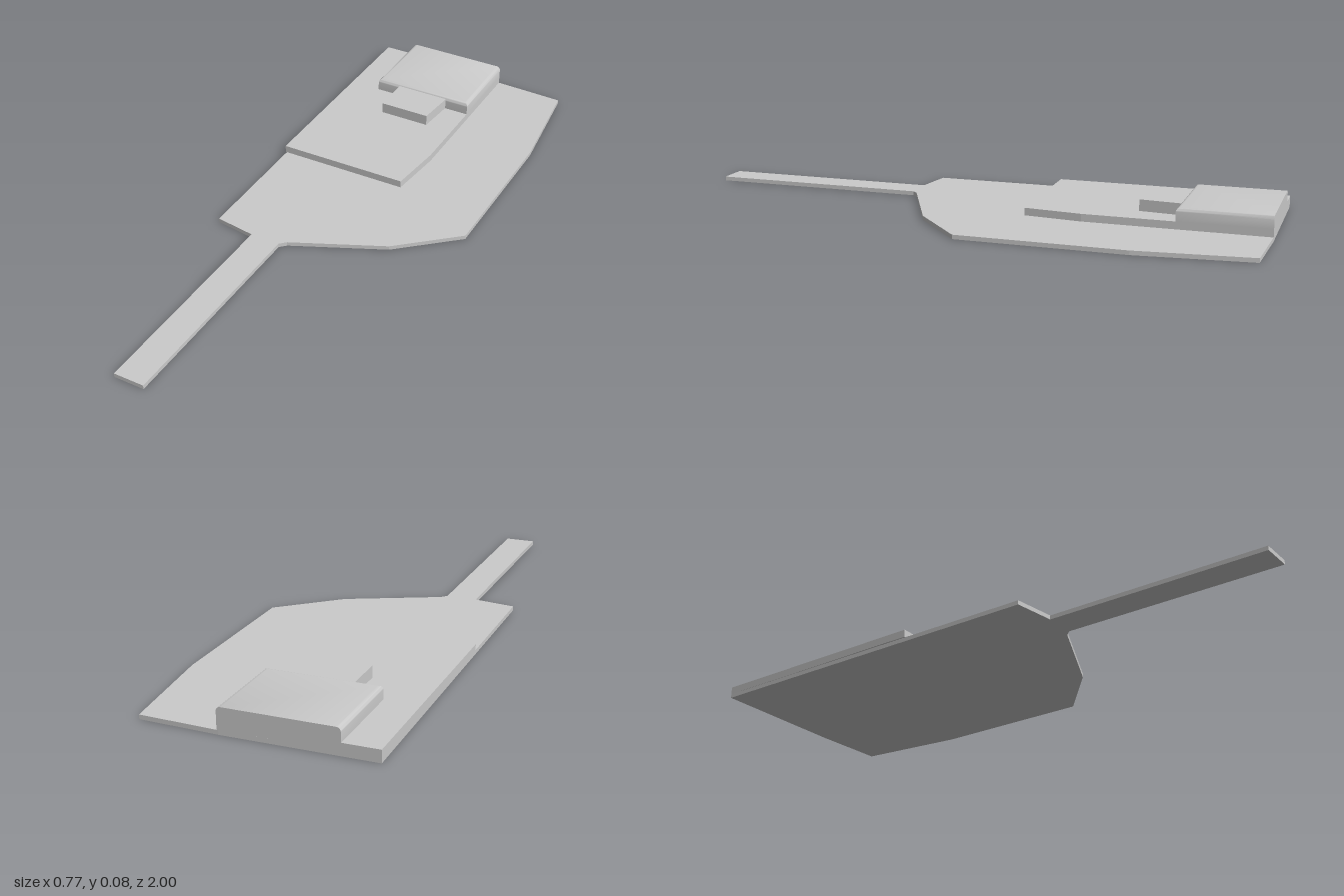
import * as THREE from 'three';
import { toCreasedNormals } from 'three/addons/utils/BufferGeometryUtils.js';

const material = new THREE.MeshStandardMaterial({ color: 0xcccccc });

// Flat slab from an outline of [x, z] points, between two heights
function slab(name, outline, y0, y1) {
  const shape = new THREE.Shape(outline.map(([x, z]) => new THREE.Vector2(x, -z)));
  const geometry = new THREE.ExtrudeGeometry(shape, { depth: y1 - y0, bevelEnabled: false });
  geometry.rotateX(-Math.PI / 2).translate(0, y0, 0);
  const mesh = new THREE.Mesh(geometry, material);
  mesh.name = name;
  return mesh;
}

// Block with rounded upper edges on the front and sides, and a flat back
function roundedBlock(name, left, right, back, front, y0, y1, radius, steps = 6) {
  const positions = [], index = [];
  const ring = (inset, y) => positions.push(
    left + inset, y, front - inset,
    right - inset, y, front - inset,
    right - inset, y, back,
    left + inset, y, back);
  ring(0, y0);
  for (let i = 0; i <= steps; i++) {
    const a = (i / steps) * Math.PI / 2;
    ring(radius * (1 - Math.cos(a)), y1 - radius * (1 - Math.sin(a)));
  }
  const last = (steps + 1) * 4;
  for (let r = 0; r < last; r += 4) {
    for (let i = 0; i < 4; i++) {
      const a = r + i, b = r + (i + 1) % 4;
      index.push(a, b, b + 4, a, b + 4, a + 4);
    }
  }
  index.push(last, last + 1, last + 2, last, last + 2, last + 3); // top
  index.push(0, 2, 1, 0, 3, 2); // bottom
  const geometry = new THREE.BufferGeometry();
  geometry.setAttribute('position', new THREE.Float32BufferAttribute(positions, 3));
  geometry.setIndex(index);
  const mesh = new THREE.Mesh(toCreasedNormals(geometry, 0.6), material);
  mesh.name = name;
  return mesh;
}

export function createModel() {
  const model = new THREE.Group();
  model.name = 'layeredPlate';

  // Thin base with a long narrow tongue reaching forward
  model.add(slab('basePlate', [
    [-0.383, -0.998], [0.09, -1], [0.342, -0.99], [0.383, -0.62], [0.383, -0.07],
    [0.19, 0.1], [-0.11, 0.24], [-0.13, 0.26], [-0.13, 1],
    [-0.233, 1], [-0.233, 0.26], [-0.373, 0.24],
  ], 0, 0.014));

  // Raised step along one side
  model.add(slab('upperPlate', [
    [-0.383, -0.998], [0.095, -1], [0.095, -0.4], [0.075, -0.207], [-0.381, -0.203],
  ], 0.014, 0.039));

  // Rounded block at the back
  model.add(roundedBlock('backBlock', -0.27, 0.095, -1, -0.7, 0.039, 0.083, 0.013));

  // Small tab in front of the block
  model.add(slab('frontTab', [
    [-0.183, -0.72], [0.008, -0.72], [0.008, -0.7], [-0.004, -0.565], [-0.183, -0.565],
  ], 0.039, 0.077));

  return model;
}
